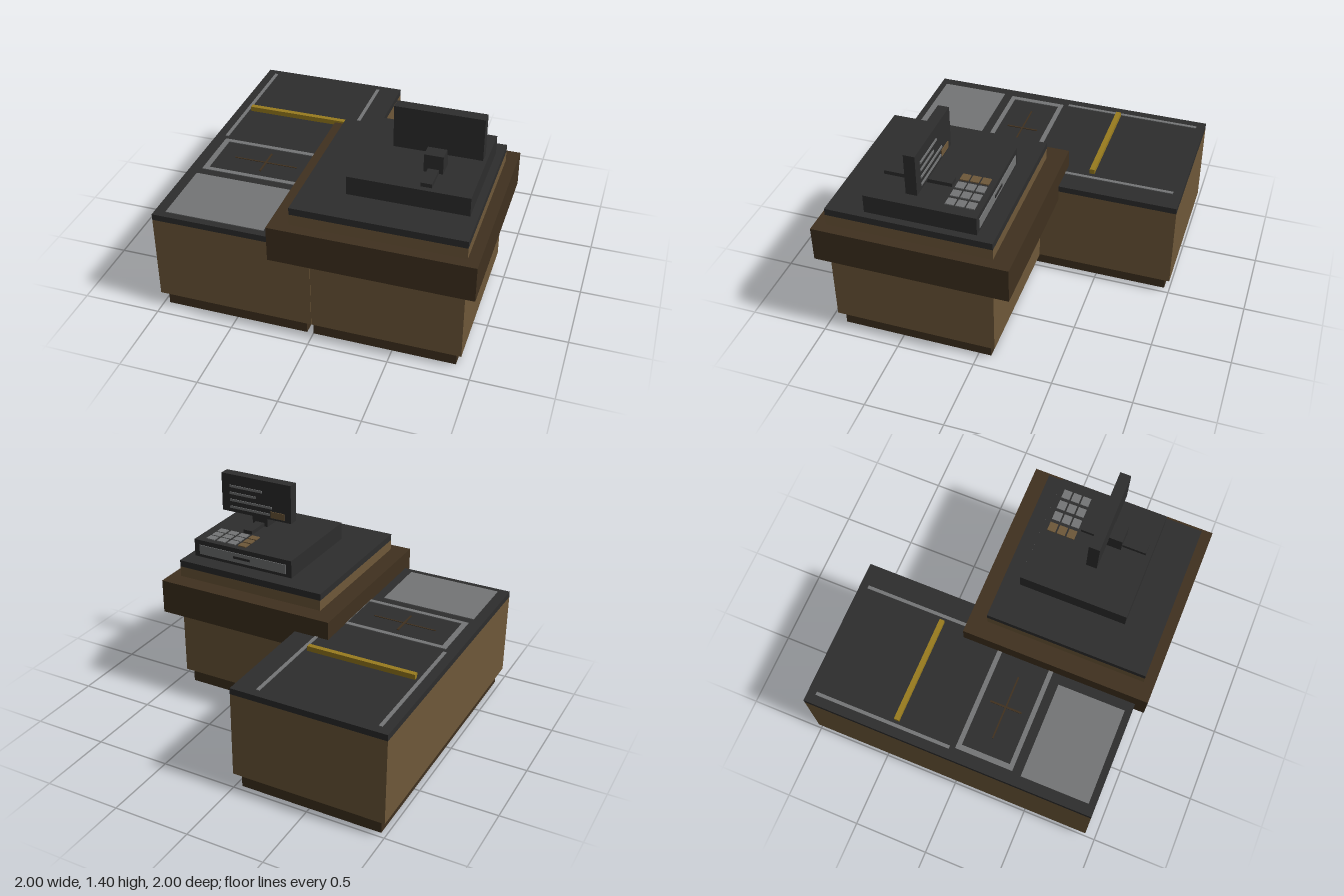
import * as THREE from 'three';

const material = (name, color, side = THREE.FrontSide) => {
  const m = new THREE.MeshStandardMaterial({ color, side });
  m.name = name;
  return m;
};

export function createModel() {
  const wood = material('wood', 0x6e5839, THREE.DoubleSide);
  const darkWood = material('darkWood', 0x40311f, THREE.DoubleSide);
  const charcoal = material('charcoal', 0x2d2d2d);
  const steel = material('steel', 0x747576);
  const yellow = material('yellow', 0x997c1e);

  const model = new THREE.Group();
  model.name = 'checkoutCounter';
  const group = (name) => {
    const g = new THREE.Group();
    g.name = name;
    model.add(g);
    return g;
  };

  // Box given by its limits on each axis
  const box = (parent, name, mat, [x0, x1], [y0, y1], [z0, z1]) => {
    const geo = new THREE.BoxGeometry(x1 - x0, y1 - y0, z1 - z0);
    const mesh = new THREE.Mesh(geo, mat);
    mesh.name = name;
    mesh.position.set((x0 + x1) / 2, (y0 + y1) / 2, (z0 + z1) / 2);
    parent.add(mesh);
    return mesh;
  };

  // Four thin walls, open above and below
  const walls = (...args) => {
    const geo = box(...args).geometry;
    const index = Array.from(geo.index.array);
    index.splice(12, 12);
    geo.setIndex(index);
    geo.clearGroups();
  };

  // Long conveyor counter
  const counter = group('conveyorCounter');
  walls(counter, 'counterPlinth', darkWood, [-0.965, -0.04], [0, 0.1], [-0.965, 0.895]);
  box(counter, 'counterBody', wood, [-1, 0], [0.1, 0.66], [-1, 0.93]);
  box(counter, 'counterTop', charcoal, [-1, 0], [0.66, 0.7], [-1, 0.93]);
  for (const x of [-0.94, -0.165]) {
    box(counter, 'beltRail', steel, [x, x + 0.022], [0.7, 0.705], [-0.945, -0.035]);
  }
  box(counter, 'dividerBar', yellow, [-0.9, -0.19], [0.705, 0.738], [-0.42, -0.387]);

  // Scanner window: frame strips and crosshair
  const scanner = group('scanner');
  const frameY = [0.7, 0.705];
  for (const z of [0, 0.35]) {
    box(scanner, 'scannerFrameLong', steel, [-0.92, -0.2], frameY, [z, z + 0.03]);
  }
  for (const x of [-0.92, -0.235]) {
    box(scanner, 'scannerFrameShort', steel, [x, x + 0.035], frameY, [0.03, 0.35]);
  }
  box(scanner, 'crosshairLong', darkWood, [-0.775, -0.35], [0.7, 0.703], [0.185, 0.195]);
  box(scanner, 'crosshairShort', darkWood, [-0.566, -0.554], [0.7, 0.704], [0.085, 0.295]);
  box(counter, 'baggingPlate', steel, [-0.93, -0.3], [0.7, 0.705], [0.44, 0.885]);

  // Square register cabinet, hollow below the collar
  const cabinet = group('registerCabinet');
  walls(cabinet, 'cabinetPlinth', darkWood, [0.002, 0.895], [0, 0.1], [-0.08, 0.895]);
  walls(cabinet, 'cabinetBody', wood, [0.002, 0.93], [0.1, 0.59], [-0.115, 0.93]);
  box(cabinet, 'cabinetCollar', darkWood, [-0.235, 1], [0.59, 0.82], [-0.235, 1]);
  box(cabinet, 'cabinetRiser', wood, [-0.118, 0.93], [0.82, 0.89], [-0.118, 0.93]);
  box(cabinet, 'cabinetTop', charcoal, [-0.118, 0.93], [0.89, 0.935], [-0.118, 0.93]);

  // Register with drawer facing the cashier at the back
  const register = group('register');
  box(register, 'registerBase', charcoal, [0.15, 0.883], [0.935, 1.055], [-0.007, 0.695]);
  box(register, 'drawerFront', steel, [0.19, 0.843], [0.957, 1.022], [-0.012, -0.007]);
  box(register, 'drawerHandle', charcoal, [0.455, 0.58], [0.983, 1.0], [-0.016, -0.012]);

  // Keypad: one wooden-coloured column, three steel ones
  for (let col = 0; col < 4; col++) {
    for (let row = 0; row < 3; row++) {
      const x = 0.51 + col * 0.081;
      const z = 0.03 + row * 0.064;
      box(register, 'key', col === 0 ? wood : steel, [x, x + 0.06], [1.055, 1.062], [z, z + 0.053]);
    }
  }

  // Screen on its stand
  const screen = group('screen');
  box(screen, 'standFoot', charcoal, [0.582, 0.648], [1.055, 1.08], [0.23, 0.66]);
  box(screen, 'standNeck', charcoal, [0.557, 0.673], [1.055, 1.17], [0.39, 0.505]);
  box(screen, 'screenPanel', charcoal, [0.35, 0.883], [1.135, 1.403], [0.347, 0.417]);
  [0.57, 0.62, 0.495, 0.515].forEach((end, i) => {
    const y = 1.32 - i * 0.05;
    box(screen, 'screenLine', steel, [end, 0.82], [y - 0.008, y + 0.008], [0.342, 0.347]);
  });
  box(screen, 'screenButton', wood, [0.4, 0.505], [1.15, 1.195], [0.342, 0.347]);

  return model;
}
